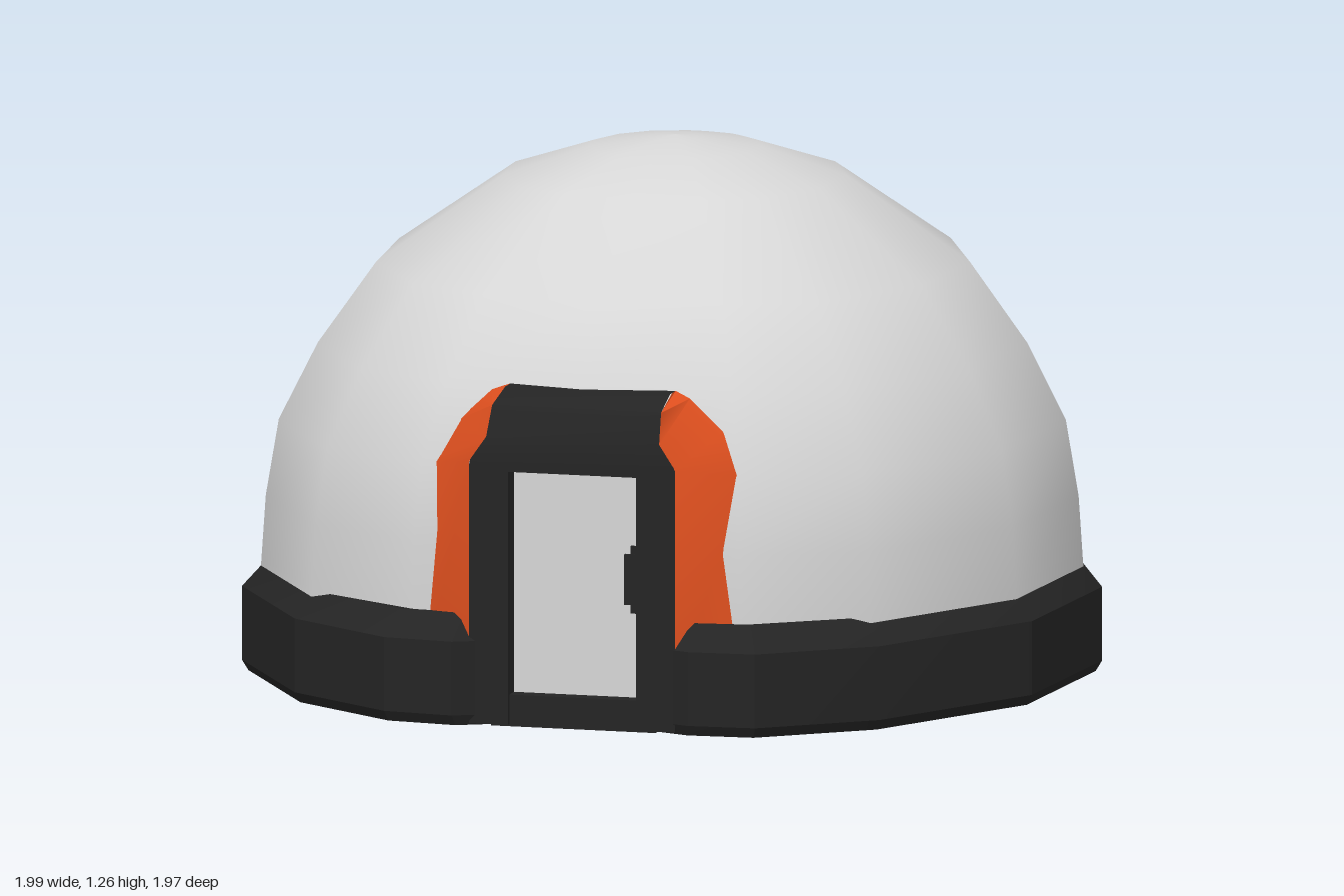
import * as THREE from 'three';
import { toCreasedNormals } from 'three/addons/utils/BufferGeometryUtils.js';

// Skin a list of rows of [x, y, z] points; closed rows wrap around
function loft(rows, closed) {
  const n = rows[0].length, idx = [];
  for (let j = 0; j < rows.length - 1; j++) {
    for (let i = 0; i < (closed ? n : n - 1); i++) {
      const k = (i + 1) % n;
      const a = j * n + i, b = j * n + k, c = b + n, d = a + n;
      idx.push(a, b, c, a, c, d);
    }
  }
  const g = new THREE.BufferGeometry();
  g.setAttribute('position', new THREE.Float32BufferAttribute(rows.flat(2), 3));
  g.setIndex(idx);
  g.computeVertexNormals();
  return g;
}

export function createModel() {
  const group = new THREE.Group();
  const shell = new THREE.MeshStandardMaterial({ color: 0xd6d6d6 });
  const rubber = new THREE.MeshStandardMaterial({ color: 0x242424 });
  const orange = new THREE.MeshStandardMaterial({ color: 0xe0501f, side: THREE.DoubleSide });

  const add = (name, geometry, material, parent = group) => {
    const mesh = new THREE.Mesh(geometry, material);
    mesh.name = name;
    parent.add(mesh);
    return mesh;
  };

  // Irregular footprint, counterclockwise from the front: right half, back, left half
  const side = [[0.46, 0.96], [0.71, 0.77], [0.96, 0.34], [0.99, -0.16], [0.80, -0.60],
    [0.53, -0.84], [0.40, -0.92], [0.08, -0.99], [-0.11, -0.99], [-0.45, -0.88],
    [-0.55, -0.83], [-0.84, -0.53], [-1.0, -0.1], [-0.95, 0.37], [-0.71, 0.77], [-0.44, 0.96]];

  // Base ring with a notch for the doorway
  const foot = [[-0.27, 0.98], [-0.19, 0.94], [-0.15, 0.89], [0.18, 0.89], [0.22, 0.94], [0.30, 0.97], ...side];
  const baseProfile = [[0, 0], [0.005, 0.985], [0.03, 1], [0.205, 1], [0.265, 0.945], [0.25, 0.85]];
  const baseRows = baseProfile.map(([y, s]) => foot.map(([x, z]) => [x * s, y, z * s]));
  add('baseRing', toCreasedNormals(loft(baseRows, true), 0.4), rubber);

  // Dome, flattened behind the doorway
  const domeFoot = [[0, 0.99], [0.42, 0.91], ...side.slice(1, -1), [-0.42, 0.91]];
  const domeProfile = [[0.2, 0.96], [0.27, 0.955], [0.42, 0.945], [0.6, 0.915], [0.78, 0.825],
    [0.97, 0.69], [1.17, 0.4], [1.235, 0.2], [1.255, 0.06], [1.26, 0]];
  const domeRows = domeProfile.map(([y, s]) =>
    domeFoot.map(([x, z]) => [x * s, y, Math.min(z * s, 0.86)]));
  add('dome', loft(domeRows, true), shell);

  // Doorway
  const door = new THREE.Group();
  door.name = 'doorway';
  door.position.x = 0.015;
  group.add(door);
  const box = (name, material, x0, x1, y0, y1, z0, z1) =>
    add(name, new THREE.BoxGeometry(x1 - x0, y1 - y0, z1 - z0), material, door)
      .position.set((x0 + x1) / 2, (y0 + y1) / 2, (z0 + z1) / 2);

  box('threshold', rubber, -0.2, 0.2, 0.005, 0.08, 0.8, 0.945);
  box('doorPanel', shell, -0.17, 0.17, 0.07, 0.63, 0.897, 0.905);
  box('doorHandle', rubber, 0.115, 0.16, 0.3, 0.42, 0.905, 0.913);
  box('handleUpper', rubber, 0.13, 0.16, 0.28, 0.44, 0.905, 0.912);
  for (const s of [-1, 1]) {
    const x = s * 0.2025;
    box('doorJamb', rubber, x - 0.0475, x + 0.0475, 0.01, 0.625, 0.8, 0.955);
  }

  // Lintel, narrowing and sloping back towards the top: [half width, y, z]
  const lintel = [[0.25, 0.61, 0.8], [0.25, 0.61, 0.955], [0.248, 0.635, 0.955], [0.21, 0.69, 0.95],
    [0.205, 0.76, 0.915], [0.2, 0.788, 0.82], [0.2, 0.788, 0.77]];
  add('lintel', toCreasedNormals(loft(lintel.map(([w, y, z]) => [[-w, y, z], [w, y, z]])), 0.7), rubber, door);

  // Slanted panels from the door frame back to the dome
  const inner = [[0.25, 0.1, 0.955], [0.25, 0.63, 0.955], [0.21, 0.69, 0.95], [0.205, 0.76, 0.915], [0.2, 0.788, 0.8]];
  const outer = [[0.385, 0.1, 0.86], [0.385, 0.6, 0.81], [0.32, 0.7, 0.79], [0.24, 0.775, 0.79], [0.2, 0.788, 0.77]];
  const flip = ([x, y, z]) => [-x, y, z];
  const left = inner.map((p, i) => [p, outer[i]]);
  const right = inner.map((p, i) => [flip(outer[i]), flip(p)]);
  add('leftSidePanel', toCreasedNormals(loft(left), 0.6), orange, door);
  add('rightSidePanel', toCreasedNormals(loft(right), 0.6), orange, door);

  return group;
}
